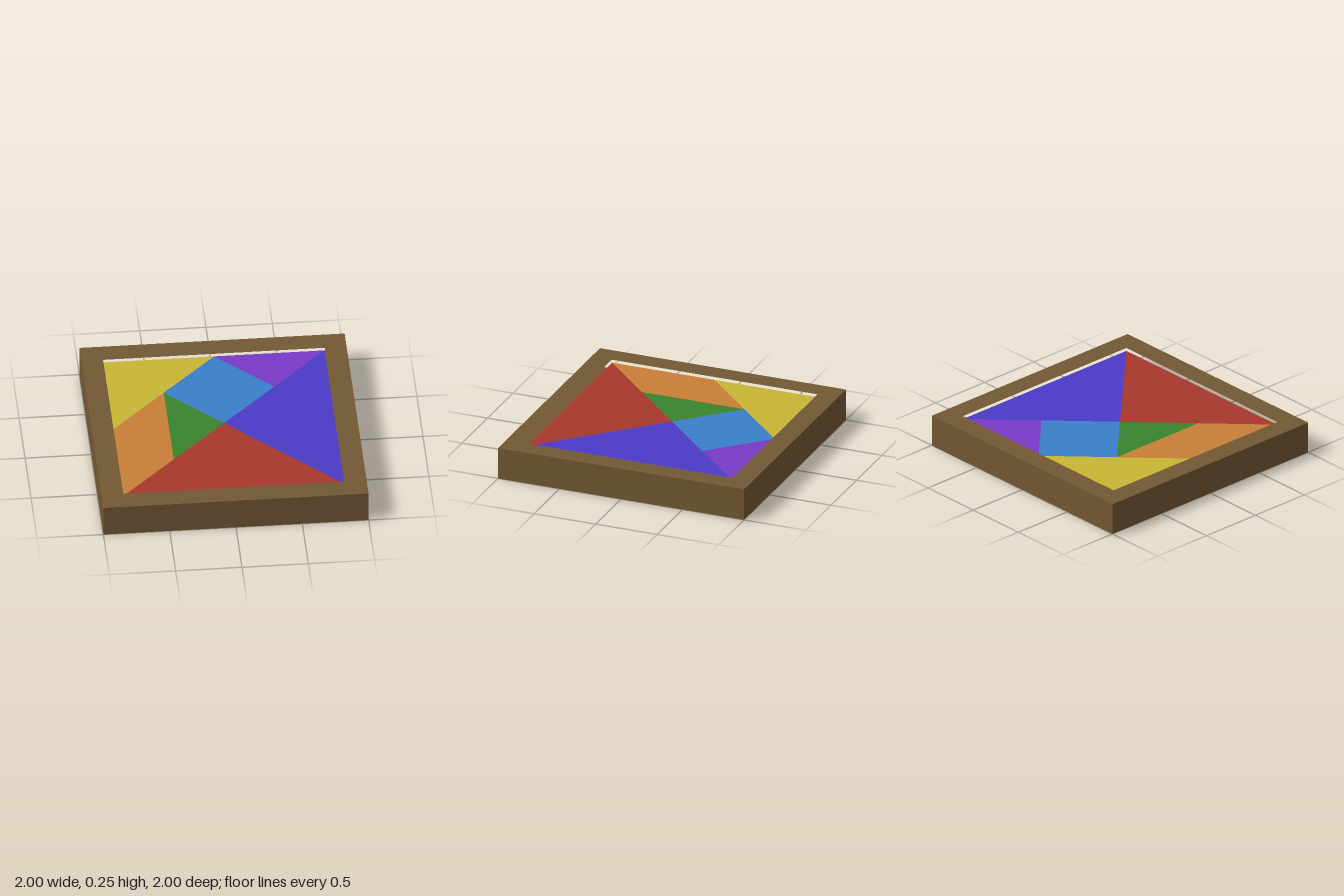
import * as THREE from 'three';

const HEIGHT = 0.25, FLOOR = 0.1, PIECE_TOP = 0.228;
const OPENING = 0.836; // half width of the tray opening
const L = 0.833, H = L / 2; // half and quarter of the puzzle square

function material(name, color) {
  const m = new THREE.MeshStandardMaterial({ color });
  m.name = name;
  return m;
}

// Outline points are [x, z] pairs as seen from above
const toVectors = (points) => points.map(([x, z]) => new THREE.Vector2(x, -z));
const square = (r) => [[-r, -r], [r, -r], [r, r], [-r, r]];

function slab(name, points, bottom, top, mat, hole) {
  const shape = new THREE.Shape(toVectors(points));
  if (hole) shape.holes.push(new THREE.Path(toVectors(hole)));
  const geometry = new THREE.ExtrudeGeometry(shape, { depth: top - bottom, bevelEnabled: false });
  geometry.rotateX(-Math.PI / 2).translate(0, bottom, 0);
  const mesh = new THREE.Mesh(geometry, mat);
  mesh.name = name;
  return mesh;
}

export function createModel() {
  const model = new THREE.Group();
  model.name = 'tangramTray';

  // Wooden tray: floor and raised rim
  const wood = material('wood', 0x735833);
  const tray = new THREE.Group();
  tray.name = 'tray';
  tray.add(slab('trayFloor', square(1), 0, FLOOR, wood));
  tray.add(slab('trayRim', square(1), FLOOR, HEIGHT, wood, square(OPENING)));
  model.add(tray);

  // Seven puzzle pieces resting just below the rim
  const pieces = new THREE.Group();
  pieces.name = 'pieces';
  const layout = [
    ['mediumTriangle', 'yellow', 0xc8b634, [[-L, -L], [0, -L], [-L, 0]]],
    ['squarePiece', 'blue', 0x3a7ec8, [[0, -L], [H, -H], [0, 0], [-H, -H]]],
    ['smallBackTriangle', 'purple', 0x783ac8, [[0, -L], [L, -L], [H, -H]]],
    ['largeSideTriangle', 'indigo', 0x4a3ac8, [[L, -L], [L, L], [0, 0]]],
    ['largeFrontTriangle', 'red', 0xa8382c, [[0, 0], [L, L], [-L, L]]],
    ['smallCentreTriangle', 'green', 0x3a842c, [[-H, -H], [0, 0], [-H, H]]],
    ['parallelogram', 'orange', 0xc87e36, [[-L, 0], [-H, -H], [-H, H], [-L, L]]],
  ];
  for (const [name, colorName, color, points] of layout) {
    pieces.add(slab(name, points, FLOOR, PIECE_TOP, material(colorName, color)));
  }
  model.add(pieces);
  return model;
}
